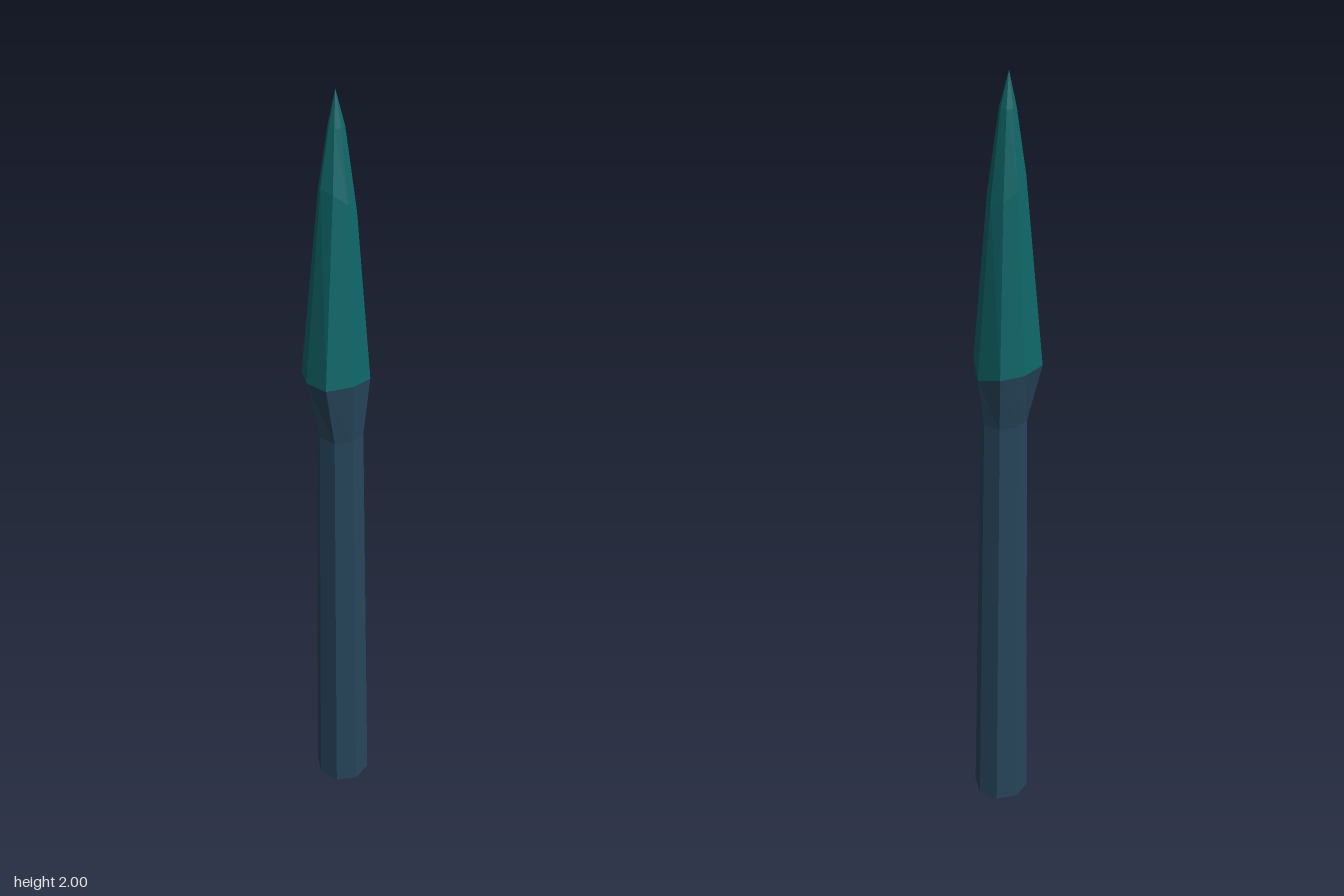
import * as THREE from 'three';

const SIDES = 8;

// One slightly irregular octagon, at height y with optional tilt along x and z
function ring(cx, y, cz, r, startDeg = 17, tiltX = 0, tiltZ = 0) {
  return Array.from({ length: SIDES }, (_, i) => {
    const a = THREE.MathUtils.degToRad(startDeg + i * 45);
    const c = Math.cos(a), s = Math.sin(a);
    return [cx + r * c, y + tiltX * c + tiltZ * s, cz + r * s];
  });
}

// A ring collapsed to a single point
const point = (x, y, z) => Array.from({ length: SIDES }, () => [x, y, z]);

// Faceted skin through a list of rings, lowest first
function loft(rings) {
  const pos = [];
  for (let k = 0; k < rings.length - 1; k++) {
    const lo = rings[k], hi = rings[k + 1];
    const loPoint = lo[0][1] === lo[1][1] && lo[0][0] === lo[1][0];
    const hiPoint = hi[0][1] === hi[1][1] && hi[0][0] === hi[1][0];
    for (let i = 0; i < SIDES; i++) {
      const j = (i + 1) % SIDES;
      if (!hiPoint) pos.push(...lo[i], ...hi[i], ...hi[j]);
      if (!loPoint) pos.push(...lo[i], ...hi[j], ...lo[j]);
    }
  }
  const g = new THREE.BufferGeometry();
  g.setAttribute('position', new THREE.Float32BufferAttribute(pos, 3));
  g.computeVertexNormals();
  return g;
}

export function createModel() {
  const handleMat = new THREE.MeshStandardMaterial({ color: 0x27455a });
  handleMat.name = 'slateBlue';
  const bristleMat = new THREE.MeshStandardMaterial({ color: 0x0f6668 });
  bristleMat.name = 'deepTeal';

  const base = ring(0.012, 0.037, 0, 0.07);
  const neck = ring(0.004, 1.16, 0, 0.056);
  // Uneven flared rim shared by the collar and the bristles
  const rim = [
    [0.072, 1.315, 0.018], [0.03, 1.325, 0.065], [-0.033, 1.32, 0.074], [-0.075, 1.315, 0.028],
    [-0.083, 1.31, -0.03], [-0.035, 1.305, -0.07], [0.022, 1.3, -0.077], [0.068, 1.28, -0.03],
  ];

  // Bristles bulge gently, then close to an off-centre tip
  const belly = ring(-0.001, 1.75, -0.016, 0.043, 17, -0.03, 0.025);
  const shoulder = ring(-0.003, 1.92, -0.022, 0.019);

  const model = new THREE.Group();
  model.name = 'brush';
  const add = (name, rings, mat) => {
    const mesh = new THREE.Mesh(loft(rings), mat);
    mesh.name = name;
    model.add(mesh);
  };
  add('handle', [point(0.018, 0, 0), base, neck], handleMat);
  add('collar', [neck, rim], handleMat);
  add('bristles', [rim, belly, shoulder, point(-0.005, 2, -0.024)], bristleMat);
  return model;
}
